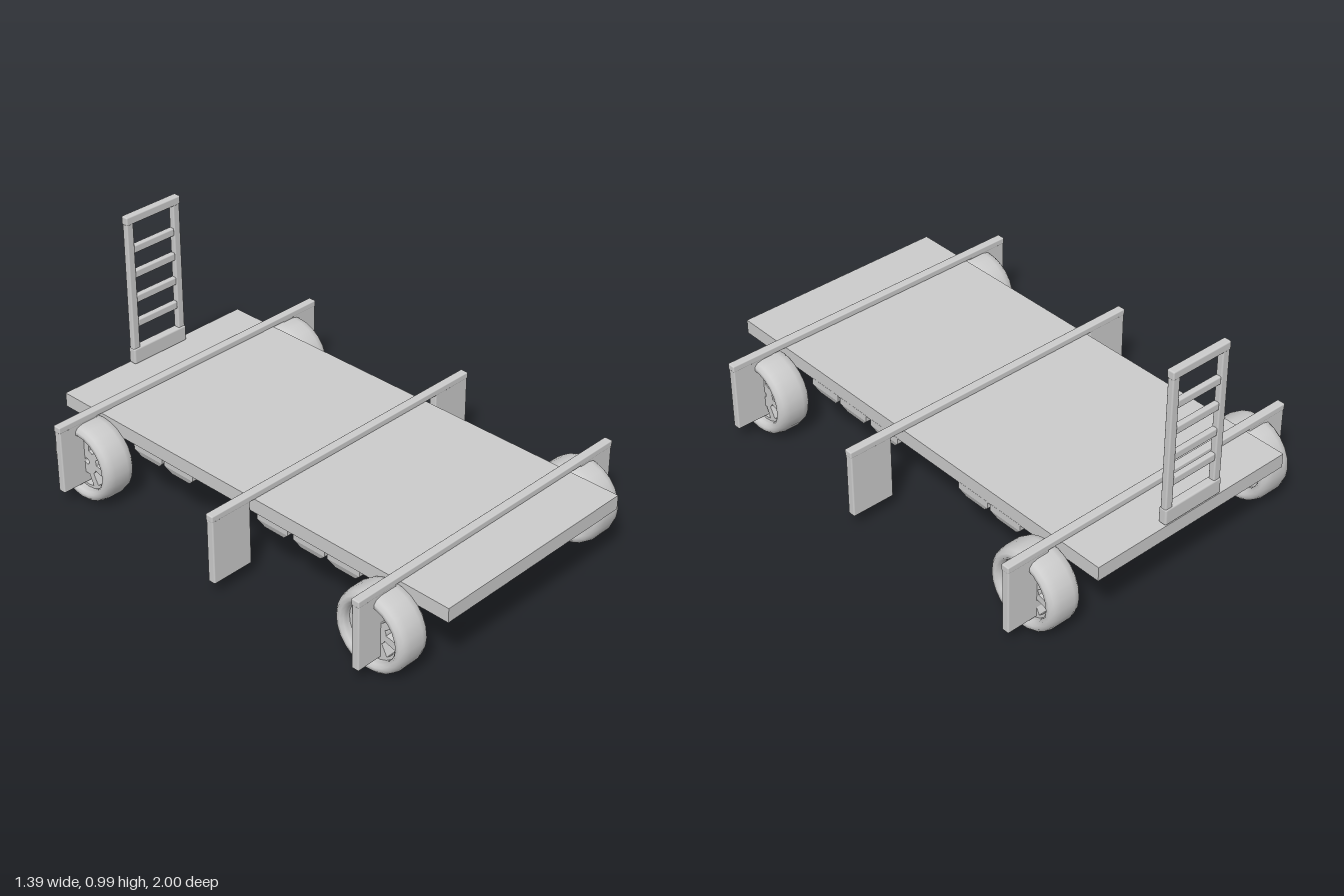
import * as THREE from 'three';
import { RoundedBoxGeometry } from 'three/addons/geometries/RoundedBoxGeometry.js';

const material = new THREE.MeshStandardMaterial({ color: 0xcccccc, roughness: 0.8 });

function add(parent, name, geometry, x = 0, y = 0, z = 0) {
  const mesh = new THREE.Mesh(geometry, material);
  mesh.name = name;
  mesh.position.set(x, y, z);
  parent.add(mesh);
  return mesh;
}

// Box given by its limits, with optional rounded edges
function addBox(parent, name, [x0, x1], [y0, y1], [z0, z1], radius = 0) {
  const size = [x1 - x0, y1 - y0, z1 - z0];
  const geometry = radius ? new RoundedBoxGeometry(...size, 2, radius) : new THREE.BoxGeometry(...size);
  return add(parent, name, geometry, (x0 + x1) / 2, (y0 + y1) / 2, (z0 + z1) / 2);
}

// Tyre cross-section (radius, offset along the axle), closed loop
function tyreGeometry() {
  const half = [[0.118, 0.05], [0.122, 0.062], [0.132, 0.072], [0.147, 0.071], [0.16, 0.058], [0.167, 0.032]];
  const profile = [
    ...half.map(([r, a]) => new THREE.Vector2(r, -a)),
    ...half.slice().reverse().map(([r, a]) => new THREE.Vector2(r, a)),
    new THREE.Vector2(half[0][0], -half[0][1]),
  ];
  return new THREE.LatheGeometry(profile, 24).rotateZ(Math.PI / 2);
}

// Rim disc with tapered windows between the spokes and a small axle hole
function rimGeometry(windows = 7, depth = 0.07) {
  const shape = new THREE.Shape().absarc(0, 0, 0.122, 0, Math.PI * 2);
  const step = (Math.PI * 2) / windows;
  for (let i = 0; i < windows; i++) {
    const mid = Math.PI / 2 + (i + 0.5) * step;
    const hole = new THREE.Path();
    hole.absarc(0, 0, 0.106, mid - step * 0.33, mid + step * 0.33, false);
    hole.absarc(0, 0, 0.055, mid + step * 0.22, mid - step * 0.22, true);
    hole.closePath();
    shape.holes.push(hole);
  }
  shape.holes.push(new THREE.Path().absarc(0, 0, 0.013, 0, Math.PI * 2, true));
  return new THREE.ExtrudeGeometry(shape, { depth, bevelEnabled: false, curveSegments: 12 })
    .translate(0, 0, -depth / 2)
    .rotateY(Math.PI / 2);
}

// Block whose lower half tapers inward
function blockGeometry(width, height, depth) {
  const geometry = new THREE.BoxGeometry(width, height, depth, 1, 2, 1).toNonIndexed();
  const p = geometry.attributes.position;
  for (let i = 0; i < p.count; i++) {
    if (p.getY(i) < -height * 0.4) {
      p.setX(i, p.getX(i) * 0.6);
      p.setZ(i, p.getZ(i) * 0.62);
    }
  }
  geometry.computeVertexNormals();
  return geometry;
}

export function createModel() {
  const model = new THREE.Group();
  model.name = 'flatbedCart';

  addBox(model, 'deck', [-0.49, 0.445], [0.28, 0.34], [-1, 1]);

  // Four wheels
  const tyre = tyreGeometry();
  const rim = rimGeometry();
  for (const x of [-0.552, 0.525]) {
    for (const z of [0.75, -0.773]) {
      const wheel = new THREE.Group();
      wheel.name = 'wheel';
      wheel.position.set(x, 0.17, z);
      add(wheel, 'tyre', tyre);
      add(wheel, 'rim', rim);
      model.add(wheel);
    }
  }

  // Cross bars with a hanging panel at each end
  for (const z of [0.763, 0.045, -0.802]) {
    const frame = new THREE.Group();
    frame.name = 'crossFrame';
    frame.position.z = z;
    addBox(frame, 'crossBar', [-0.7, 0.695], [0.337, 0.365], [-0.018, 0.018], 0.005);
    for (const [x0, x1] of [[-0.698, -0.51], [0.505, 0.693]]) {
      addBox(frame, 'sidePanel', [x0, x1], [0.065, 0.345], [-0.017, 0.017], 0.006);
    }
    model.add(frame);
  }

  // Tapered blocks under both long edges
  const block = blockGeometry(0.055, 0.058, 0.158);
  for (const x of [-0.457, 0.418]) {
    for (const z of [0.503, 0.332, 0.147, -0.357, -0.527]) {
      add(model, 'underBlock', block, x, 0.254, z);
    }
  }

  // Ladder-shaped backrest standing on the rear edge
  const backrest = new THREE.Group();
  backrest.name = 'backrest';
  const thick = [-0.996, -0.968];
  for (const x of [-0.155, 0.086]) {
    addBox(backrest, 'stile', [x, x + 0.034], [0.36, 0.975], thick, 0.006);
  }
  addBox(backrest, 'topRail', [-0.157, 0.122], [0.96, 0.996], [-0.998, -0.965], 0.006);
  addBox(backrest, 'bottomRail', [-0.157, 0.122], [0.34, 0.41], [-1, -0.963], 0.008);
  for (let i = 0; i < 4; i++) {
    const y = 0.515 + i * 0.11;
    addBox(backrest, 'rung', [-0.123, 0.088], [y - 0.017, y + 0.017], [-0.994, -0.97], 0.006);
  }
  model.add(backrest);

  return model;
}
